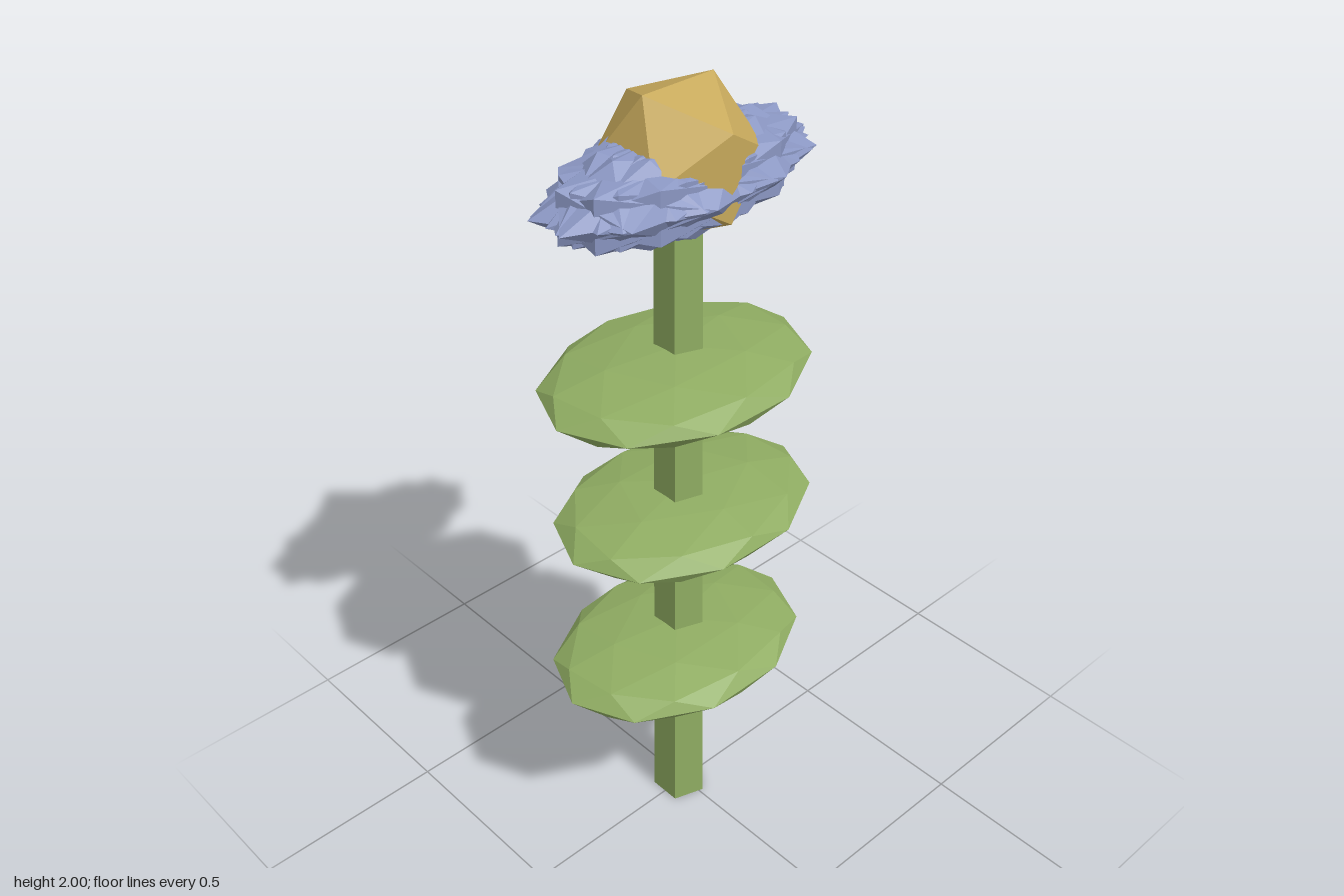
import * as THREE from 'three';

const CX = -0.011; // stem axis

function flat(color) {
  return new THREE.MeshStandardMaterial({ color, flatShading: true });
}

function addMesh(parent, name, geometry, material, x, y, z) {
  const mesh = new THREE.Mesh(geometry, material);
  mesh.name = name;
  mesh.position.set(x, y, z);
  parent.add(mesh);
  return mesh;
}

export function createModel() {
  const model = new THREE.Group();
  model.name = 'flower';
  const green = flat(0x8fac62);
  const blue = flat(0x8a96c2);
  const gold = flat(0xc8aa5c);

  // Five-sided tapering stem, one edge towards +x
  const stem = new THREE.CylinderGeometry(0.055, 0.07, 1.75, 5);
  stem.rotateY(Math.PI / 2 - Math.PI * 2);
  stem.translate(0, 0.875, 0);
  addMesh(model, 'stem', stem, green, CX, 0, -0.001);

  // Flattened faceted leaves, each turned half way round from the last
  const leaf = new THREE.IcosahedronGeometry(1, 1);
  leaf.rotateZ(-Math.atan(2 / (1 + Math.sqrt(5))));
  leaf.rotateY(Math.PI / 10);
  leaf.scale(0.345, 0.066, 0.258);
  for (let i = 0; i < 3; i++) {
    const side = i % 2 === 0 ? -1 : 1;
    const mesh = addMesh(model, 'leaf', leaf, green, CX + side * 0.02, 0.543 + i * 0.398, -side * 0.009);
    if (side > 0) mesh.rotation.y = Math.PI;
  }

  // Spiky blossom: overlapping turned solids squashed into one oval
  const petals = new THREE.Group();
  petals.name = 'petals';
  petals.position.set(CX, 1.802, -0.003);
  petals.scale.set(0.36, 0.116, 0.168);
  const petal = new THREE.IcosahedronGeometry(1, 0);
  const count = 11;
  for (let i = 0; i < count; i++) {
    const a = (i / count) * Math.PI * 2;
    const mesh = addMesh(petals, 'petal', petal, blue, Math.cos(a) * 0.04, 0, -Math.sin(a) * 0.04);
    mesh.rotation.y = a + 0.55;
  }
  model.add(petals);

  // Flower centre
  addMesh(model, 'flowerCentre', new THREE.IcosahedronGeometry(0.185, 0), gold, CX, 1.843, -0.004);

  return model;
}
